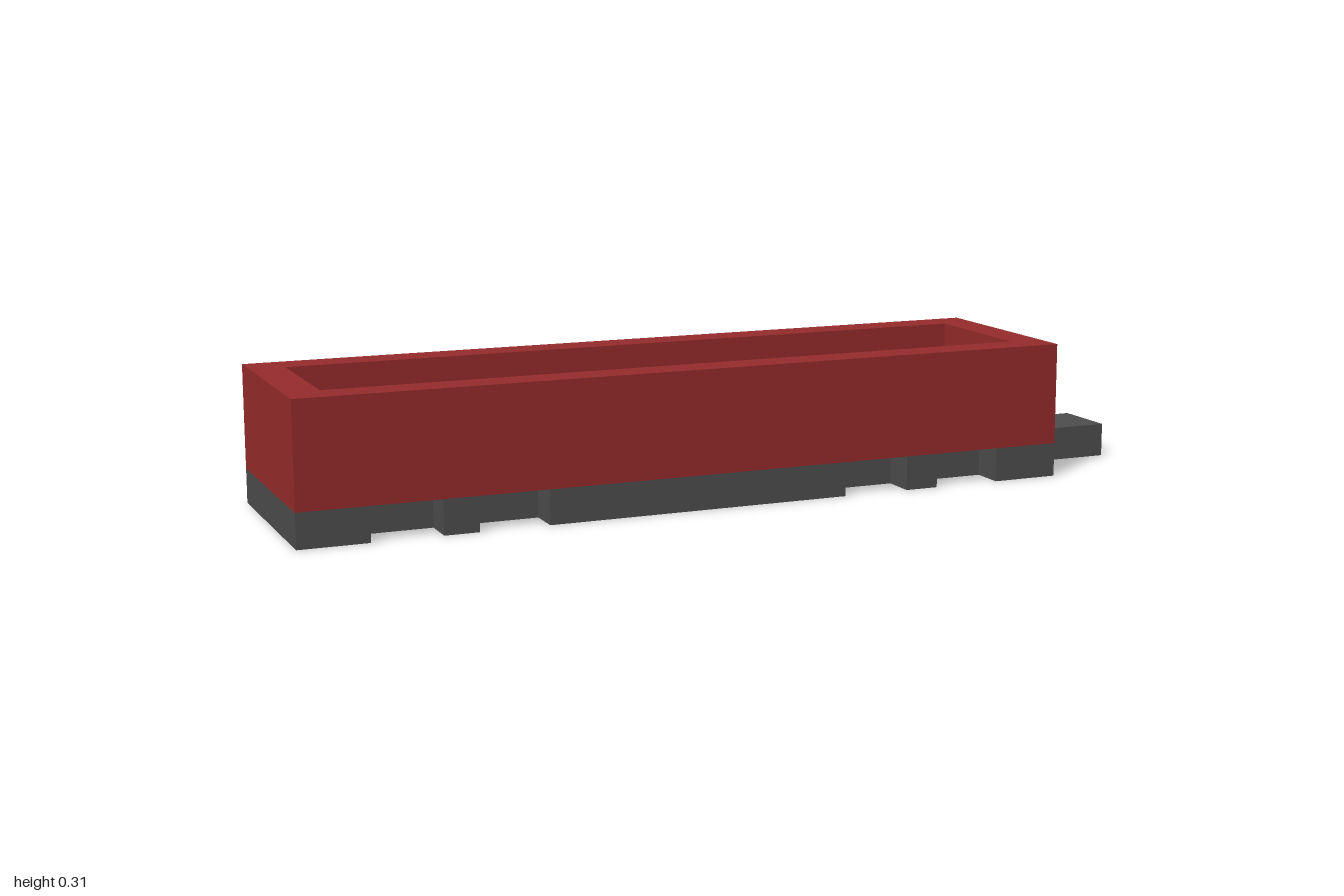
import * as THREE from 'three';

const U = 1 / 13; // the whole model sits on this grid unit

export function createModel() {
  const red = new THREE.MeshStandardMaterial({ color: 0x972b2c });
  red.name = 'red';
  const grey = new THREE.MeshStandardMaterial({ color: 0x4e4e4e });
  grey.name = 'dark grey';

  const model = new THREE.Group();
  model.name = 'wagon';

  const add = (name, geometry, material) => {
    const mesh = new THREE.Mesh(geometry, material);
    mesh.name = name;
    model.add(mesh);
    return mesh;
  };
  // box from its lower and upper corners, in grid units
  const box = (name, material, [x0, y0, z0], [x1, y1, z1]) =>
    add(name, new THREE.BoxGeometry((x1 - x0) * U, (y1 - y0) * U, (z1 - z0) * U), material)
      .position.set((x0 + x1) / 2 * U, (y0 + y1) / 2 * U, (z0 + z1) / 2 * U);
  // plan outline extruded upwards from y0 to y1
  const slab = (name, material, shape, y0, y1) => {
    const geometry = new THREE.ExtrudeGeometry(shape, { depth: (y1 - y0) * U, bevelEnabled: false });
    geometry.rotateX(-Math.PI / 2);
    add(name, geometry, material).position.y = y0 * U;
  };
  const points = list => list.map(([x, z]) => new THREE.Vector2(x * U, z * U));
  const rectangle = (x0, x1, z) => points([[x0, -z], [x1, -z], [x1, z], [x0, z]]);

  // chassis plate with square wheel notches along both sides
  const side = [[-13, -3]];
  for (const x of [-11, -8, 3, 6]) {
    side.push([x, -3], [x, -2], [x + 2, -2], [x + 2, -3]);
  }
  side.push([10, -3]);
  const mirrored = side.map(([x, z]) => [x, -z]).reverse();
  slab('chassis', grey, new THREE.Shape(points([...side, ...mirrored])), 0, 1);

  // coupling bar at one end
  box('coupler', grey, [10, 0, -1], [13, 1, 1]);

  // open-topped body: floor plate and surrounding walls
  slab('bodyFloor', red, new THREE.Shape(rectangle(-13, 10, 3)), 1, 2);
  const walls = new THREE.Shape(rectangle(-13, 10, 3));
  walls.holes.push(new THREE.Path(rectangle(-12, 9, 2).reverse()));
  slab('bodyWalls', red, walls, 2, 4);

  return model;
}
